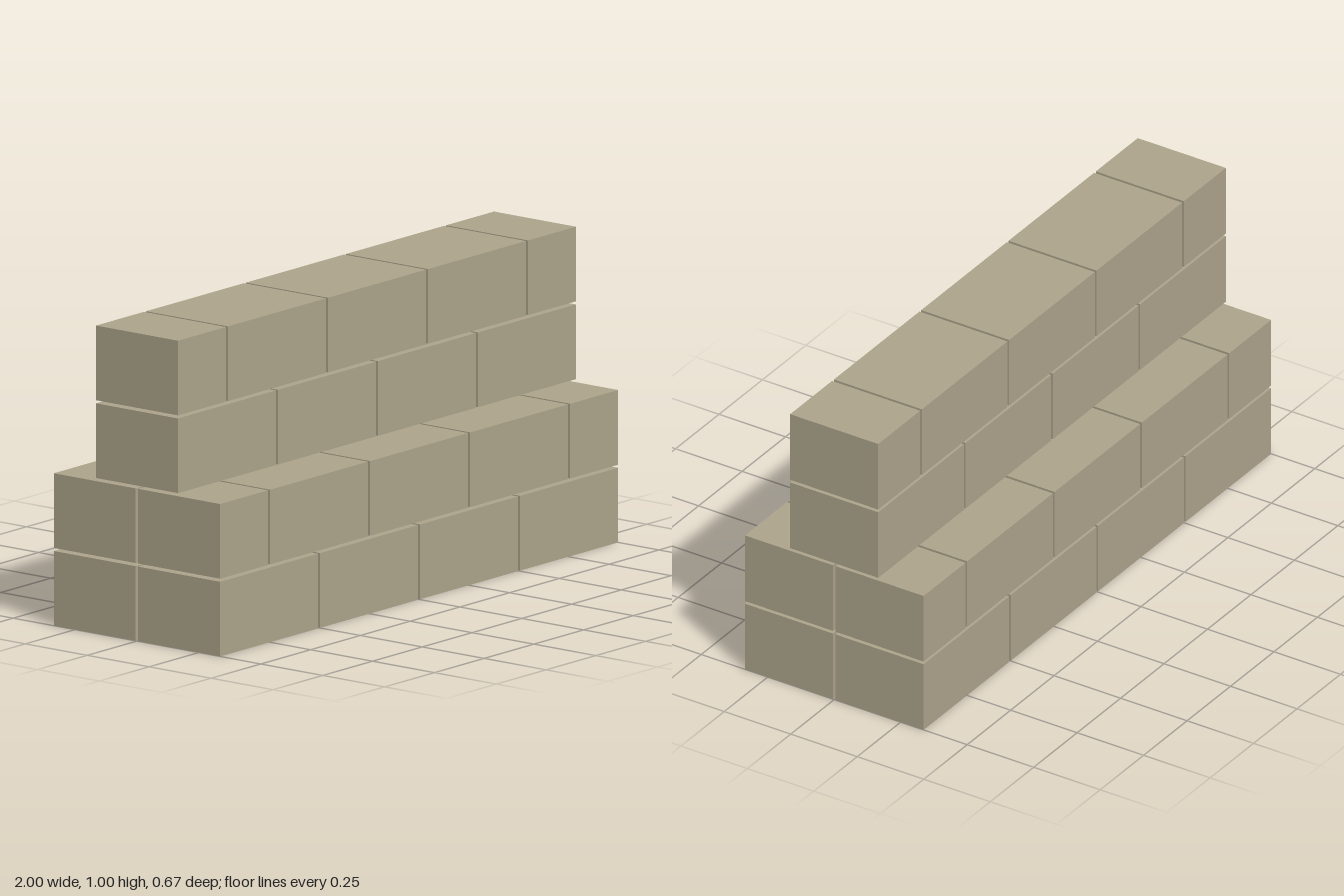
import * as THREE from 'three';

const GAP = 0.01;                          // open joint between blocks
const LENGTH = (2 - 3 * GAP) / 4;          // full block
const HALF = (LENGTH - GAP) / 2;           // half block closing a staggered course
const HEIGHT = 0.2415;
const DEPTH = 0.331;

export function createModel() {
  const wall = new THREE.Group();
  wall.name = 'blockWall';
  const stone = new THREE.MeshStandardMaterial({ color: 0xada48b });
  stone.name = 'sandstone';

  const fullBlock = new THREE.BoxGeometry(LENGTH, HEIGHT, DEPTH);
  const halfBlock = new THREE.BoxGeometry(HALF, HEIGHT, DEPTH);

  // One row of blocks along x; staggered rows start and end with a half block
  function addRow(course, z) {
    const row = new THREE.Group();
    row.name = 'blockRow';
    const staggered = course % 2 === 1;
    const lengths = staggered
      ? [HALF, LENGTH, LENGTH, LENGTH, HALF]
      : [LENGTH, LENGTH, LENGTH, LENGTH];
    let x = -1;
    for (const length of lengths) {
      const isHalf = length === HALF;
      const block = new THREE.Mesh(isHalf ? halfBlock : fullBlock, stone);
      block.name = isHalf ? 'halfBlock' : 'fullBlock';
      block.position.x = x + length / 2;
      row.add(block);
      x += length + GAP;
    }
    row.position.set(0, course * (HEIGHT + GAP) + HEIGHT / 2, z);
    wall.add(row);
  }

  // Two courses two blocks deep, then two courses one block deep
  const offset = (DEPTH + GAP) / 2;
  for (let course = 0; course < 4; course++) {
    const depths = course < 2 ? [-offset, offset] : [0];
    for (const z of depths) addRow(course, z);
  }
  return wall;
}
